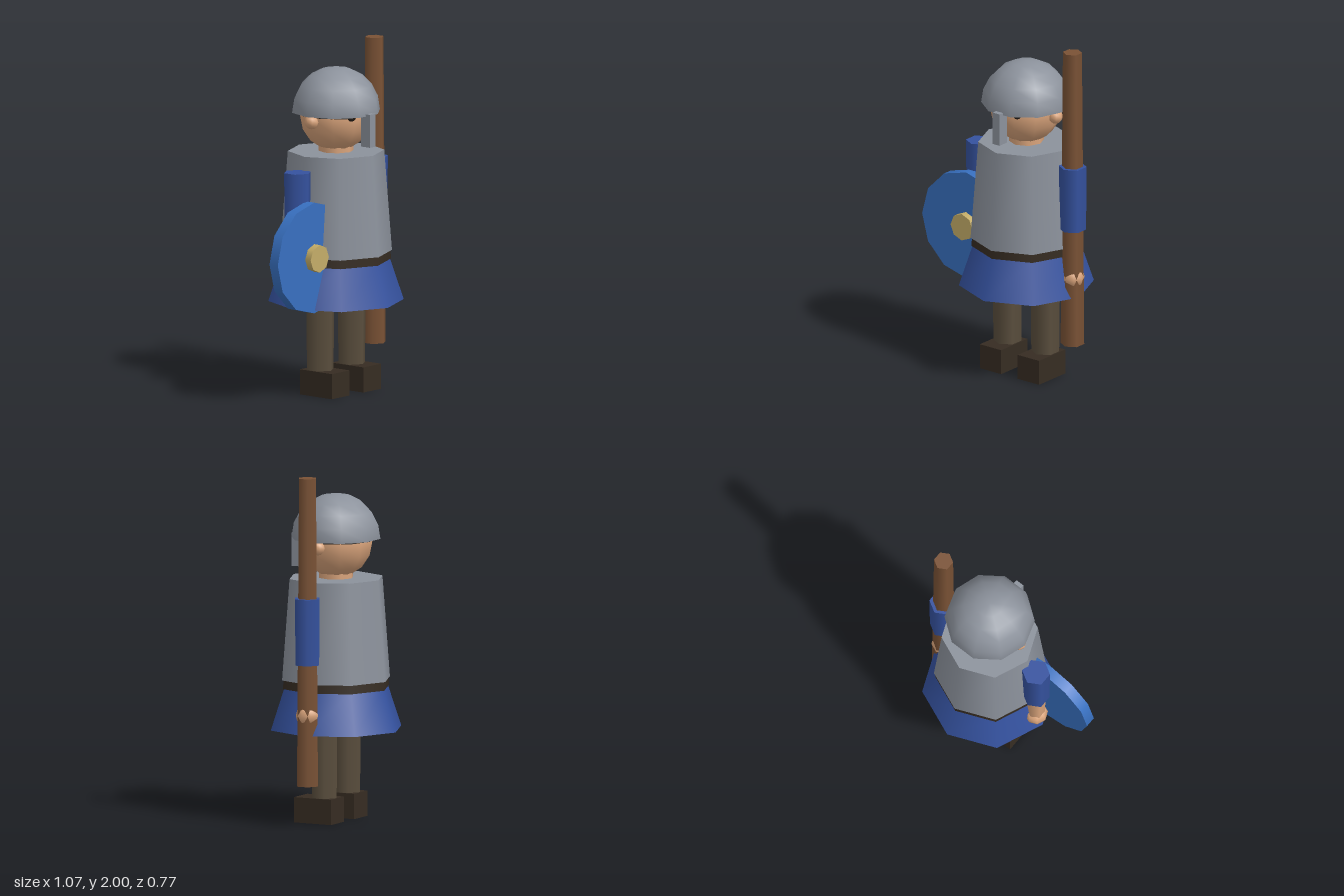
import * as THREE from 'three';

const mat = (name, color) => {
  const m = new THREE.MeshStandardMaterial({ color });
  m.name = name;
  return m;
};

export function createModel() {
  const steel = mat('steel', 0x8c929c);
  const cloth = mat('blue cloth', 0x35529f);
  const paint = mat('shield blue', 0x3870c0);
  const brass = mat('brass', 0xc4ad68);
  const skin = mat('skin', 0xdba57c);
  const wood = mat('wood', 0x7a5235);
  const wool = mat('brown wool', 0x5a4e3d);
  const leather = mat('dark leather', 0x362c22);
  const dark = mat('dark hair', 0x2a221b);
  steel.side = THREE.DoubleSide; // the helmet is an open shell

  const model = new THREE.Group();
  model.name = 'guard';
  const CX = 0.125; // body axis; the shield shifts the overall centre

  const add = (name, geo, material, x, y, z = 0) => {
    const mesh = new THREE.Mesh(geo, material);
    mesh.name = name;
    mesh.position.set(x, y, z);
    model.add(mesh);
    return mesh;
  };
  // upright tapered prism between two heights
  const column = (name, material, x, y0, y1, r0, r1, sides) =>
    add(name, new THREE.CylinderGeometry(r1, r0, y1 - y0, sides), material, x, (y0 + y1) / 2);
  // disc facing +z
  const disc = (name, material, r, x, y, z0, z1, sides) => {
    const geo = new THREE.CylinderGeometry(r, r, z1 - z0, sides).rotateX(Math.PI / 2);
    return add(name, geo, material, x, y, (z0 + z1) / 2);
  };

  // Clothing
  column('skirt', cloth, CX, 0.525, 0.765, 0.386, 0.306, 8);
  column('belt', leather, CX, 0.76, 0.812, 0.313, 0.311, 8);
  column('mailShirt', steel, CX, 0.81, 1.39, 0.319, 0.275, 8);

  // Head
  column('neck', skin, CX, 1.35, 1.45, 0.1, 0.1, 8);
  add('head', new THREE.SphereGeometry(0.21, 10, 8), skin, CX, 1.6);
  column('hair', dark, CX, 1.607, 1.66, 0.218, 0.21, 10);
  add('helmet', new THREE.SphereGeometry(0.257, 10, 5, 0, Math.PI * 2, 0, Math.PI / 2), steel, CX, 1.617);
  add('noseGuard', new THREE.BoxGeometry(0.05, 0.19, 0.068), steel, CX, 1.535, 0.24);

  // Mirrored parts
  for (const s of [-1, 1]) {
    const side = s > 0 ? 'left' : 'right';
    add(side + 'Ear', new THREE.SphereGeometry(0.042, 8, 6), skin, CX + s * 0.213, 1.583);
    add(side + 'Eye', new THREE.SphereGeometry(0.027, 8, 6), dark, CX + s * 0.08, 1.615, 0.182);

    const armX = CX + s * 0.338;
    column(side + 'Sleeve', cloth, armX, 0.93, 1.31, 0.077, 0.08, 6);
    column(side + 'Forearm', skin, armX, 0.65, 0.94, 0.05, 0.056, 6);
    add(side + 'Hand', new THREE.SphereGeometry(0.068, 8, 6), skin, armX, 0.64);

    const legX = CX + s * 0.138;
    column(side + 'Leg', wool, legX, 0.13, 0.6, 0.08, 0.085, 6);
    add(side + 'Boot', new THREE.BoxGeometry(0.156, 0.145, 0.238), leather, legX, 0.0725, 0.034);
  }

  // Staff in the left hand, round shield on the right arm
  column('staff', wood, 0.461, 0.235, 2, 0.068, 0.055, 6);
  disc('shield', paint, 0.32, -0.213, 0.83, 0.064, 0.126, 12);
  disc('shieldBoss', brass, 0.08, -0.213, 0.83, 0.126, 0.167, 8);

  return model;
}
